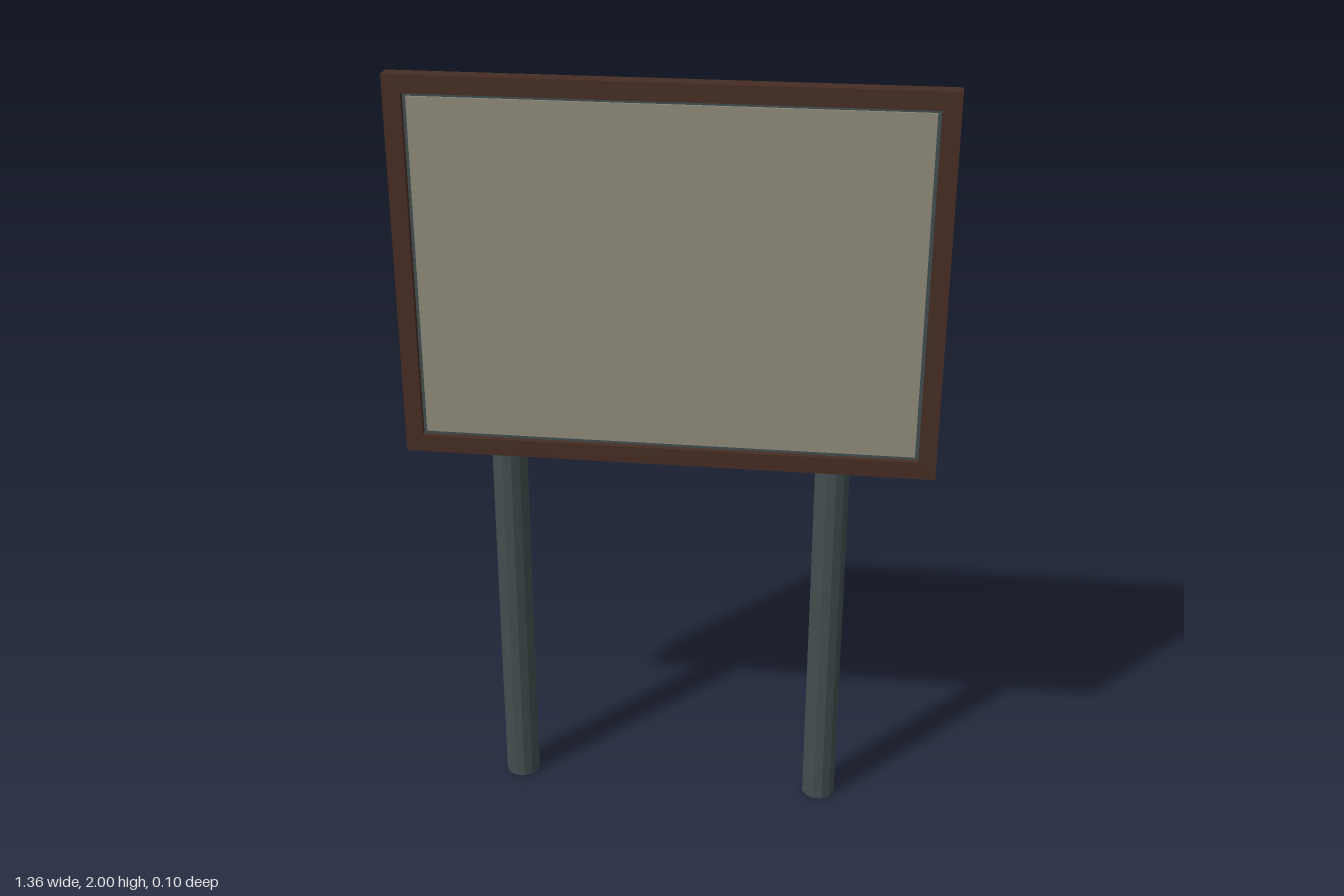
import * as THREE from 'three';

export function createModel() {
  const group = new THREE.Group();
  const material = (name, color) => {
    const m = new THREE.MeshStandardMaterial({ color });
    m.name = name;
    return m;
  };
  const brown = material('frame brown', 0x462d23);
  const steel = material('dark steel', 0x424e4e);
  const beige = material('panel beige', 0x8f8c7b);

  const add = (name, geometry, mat, x, y, z) => {
    const mesh = new THREE.Mesh(geometry, mat);
    mesh.name = name;
    mesh.position.set(x, y, z);
    group.add(mesh);
    return mesh;
  };

  const midY = 1.508;

  // Picture-style frame with a rectangular opening
  const rect = (Type, w, h) => new Type([
    new THREE.Vector2(-w, -h), new THREE.Vector2(w, -h),
    new THREE.Vector2(w, h), new THREE.Vector2(-w, h),
  ]);
  const outline = rect(THREE.Shape, 0.682, 0.492);
  outline.holes.push(rect(THREE.Path, 0.637, 0.447));
  add('frame', new THREE.ExtrudeGeometry(outline, { depth: 0.045, bevelEnabled: false }),
    brown, 0, midY, 0.005);

  // Backing board, reaching forward into the frame opening
  add('backingBoard', new THREE.BoxGeometry(1.316, 0.94, 0.052), steel, 0, midY, -0.02);
  add('boardCore', new THREE.BoxGeometry(1.274, 0.894, 0.03), steel, 0, midY, 0.019);

  // Display panel, slightly smaller than the opening
  add('displayPanel', new THREE.BoxGeometry(1.256, 0.876, 0.006), beige, 0, midY, 0.036);

  // Posts, partly sunk into the back of the board
  const post = new THREE.CylinderGeometry(0.0455, 0.0455, 1.51, 12).toNonIndexed();
  post.rotateY(Math.PI / 12);
  post.computeVertexNormals();
  for (const side of [-1, 1]) {
    add(side < 0 ? 'rightPost' : 'leftPost', post, steel, side * 0.422, 0.755, -0.007);
  }

  return group;
}
